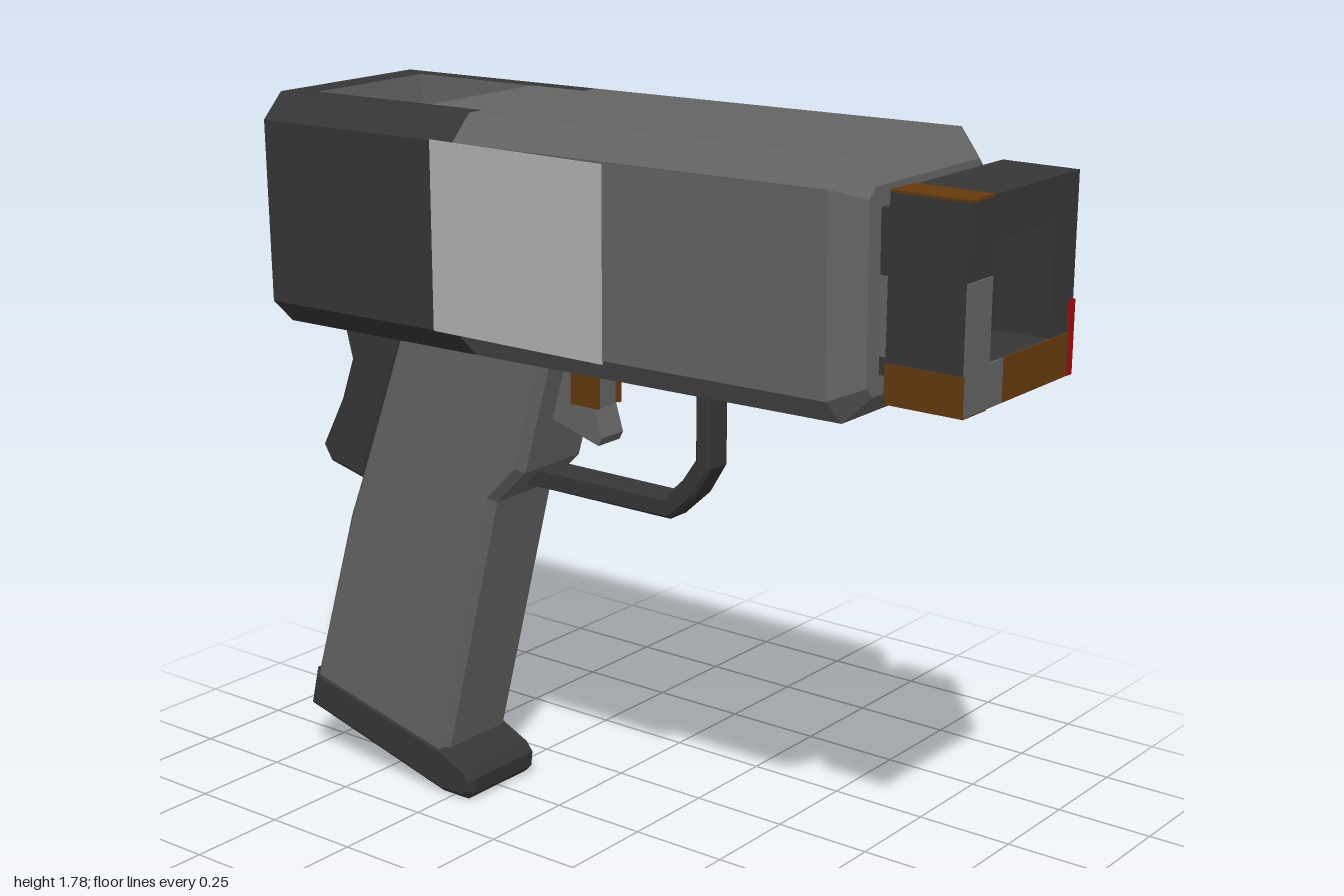
import * as THREE from 'three';

const mat = (name, color, side = THREE.FrontSide) => {
  const m = new THREE.MeshStandardMaterial({ color, side });
  m.name = name;
  return m;
};

export function createModel() {
  const dark = mat('charcoal', 0x363636);
  const gray = mat('gray', 0x646464);
  const light = mat('light gray', 0xb2b2b2);
  const brown = mat('brown', 0x663a0e);
  const red = mat('red', 0xa00c0c);

  const root = new THREE.Group();
  root.name = 'launcher';

  const add = (parent, name, geo, material) => {
    const m = new THREE.Mesh(geo, material);
    m.name = name;
    parent.add(m);
    return m;
  };
  // Box given by its limits
  const box = (parent, name, x0, x1, y0, y1, z0, z1, material) => {
    const g = new THREE.BoxGeometry(x1 - x0, y1 - y0, z1 - z0);
    g.translate((x0 + x1) / 2, (y0 + y1) / 2, (z0 + z1) / 2);
    return add(parent, name, g, material);
  };
  // Side outline extruded across z, with an optional bevel kept inside the outline
  const slab = (name, pts, half, material, bevel = 0, z = 0) => {
    const shape = new THREE.Shape(pts.map(p => new THREE.Vector2(...p)));
    const g = new THREE.ExtrudeGeometry(shape, {
      depth: 2 * (half - bevel), bevelEnabled: bevel > 0, bevelSize: bevel,
      bevelThickness: bevel, bevelOffset: -bevel, bevelSegments: 1,
    });
    g.translate(0, 0, z - half + bevel);
    return add(root, name, g, material);
  };

  // ---- Body: chamfered octagonal shell, slightly tilted up ----
  const body = new THREE.Group();
  body.name = 'body';
  body.position.y = 1.494;
  body.rotation.z = 0.0145;
  root.add(body);

  const H = 0.28, W = 0.285;
  const ring = (x, inset) => {
    const h = H - inset, w = W - inset, c = 0.06 - inset * 0.6;
    return [[w - c, h], [w, h - c], [w, c - h], [w - c, -h],
      [c - w, -h], [-w, c - h], [-w, h - c], [c - w, h]]
      .map(([z, y]) => new THREE.Vector3(x, y, z));
  };
  const rings = [ring(-0.96, 0.06), ring(-0.94, 0.04), ring(-0.9, 0),
    ring(-0.3, 0), ring(0.71, 0), ring(0.77, 0.06)];
  const faces = new Map([[dark, []], [gray, []], [red, []]]);
  const center = new THREE.Vector3(-0.1, 0, 0);
  const polygon = (pts, material) => {
    for (let i = 1; i < pts.length - 1; i++) {
      const [a, b, c] = [pts[0], pts[i], pts[i + 1]];
      const n = b.clone().sub(a).cross(c.clone().sub(a));
      const outward = n.dot(a.clone().sub(center)) > 0;
      faces.get(material).push(...(outward ? [a, b, c] : [a, c, b]));
    }
  };
  // Side numbers: 1 = +z, 3 = bottom, 5 = -z, 7 = top
  for (let k = 0; k < 5; k++) {
    for (let s = 0; s < 8; s++) {
      if (k === 2 && s === 7) continue;
      let m = k > 2 ? gray : dark;
      if (k < 2 && s === 7) m = gray;
      if (k === 0 && (s === 1 || s === 5)) m = red;
      const t = (s + 1) % 8;
      polygon([rings[k][s], rings[k][t], rings[k + 1][t], rings[k + 1][s]], m);
    }
  }
  polygon(rings[0], gray);
  polygon(rings[5], gray);
  for (const [m, pts] of faces) {
    const g = new THREE.BufferGeometry().setFromPoints(pts);
    g.computeVertexNormals();
    add(body, m === dark ? 'rearShell' : m === gray ? 'frontShell' : 'rearTrim', g, m);
  }

  // Top deck around the hopper opening
  const deck = (name, pts, material) => {
    const g = new THREE.ShapeGeometry(new THREE.Shape(pts.map(p => new THREE.Vector2(...p))));
    g.rotateX(-Math.PI / 2);
    g.translate(0, H, 0);
    add(body, name, g, material);
  };
  deck('hopperRim', [[-0.9, -0.225], [-0.3, -0.225], [-0.3, -0.18], [-0.82, -0.18],
    [-0.82, 0.18], [-0.3, 0.18], [-0.3, 0.225], [-0.9, 0.225]], dark);
  deck('hopperFrontDeck', [[-0.46, -0.18], [-0.3, -0.18], [-0.3, 0.18], [-0.46, 0.18]], gray);

  // Hopper well: box turned inside out, lid removed
  const well = new THREE.BoxGeometry(0.36, 0.48, 0.36);
  const idx = Array.from(well.index.array);
  idx.splice(12, 6);
  well.setIndex(idx);
  well.clearGroups();
  well.scale(-1, 1, 1);
  well.computeVertexNormals();
  well.translate(-0.64, 0.04, 0);
  add(body, 'hopperWell', well, gray);

  // Balls in the hopper
  const ballGeo = new THREE.SphereGeometry(0.058, 20, 14);
  for (let i = 0; i < 3; i++) {
    for (let j = 0; j < 3; j++) {
      const isGray = (i === 0 && j === 0) || (i === 2 && j === 2);
      add(body, 'ball', ballGeo, isGray ? gray : dark)
        .position.set(-0.762 + 0.124 * i, -0.14, -0.118 + 0.118 * j);
    }
  }

  // Light bands on both sides
  for (const s of [-1, 1]) {
    box(root, 'sideBand', -0.37, 0.125, 1.268, 1.71, s * W - 0.003, s * W + 0.003, light);
  }

  // ---- Muzzle ----
  box(root, 'muzzleNeck', 0.75, 0.83, 1.33, 1.68, -0.18, 0.18, dark);
  box(root, 'neckPatch', 0.765, 0.79, 1.37, 1.54, 0.178, 0.183, gray);
  const square = (r, P) => new P([[-r, -r], [r, -r], [r, r], [-r, r]].map(p => new THREE.Vector2(...p)));
  const frame = square(0.22, THREE.Shape);
  frame.holes.push(square(0.125, THREE.Path));
  const frameGeo = new THREE.ExtrudeGeometry(frame, { depth: 0.13, bevelEnabled: false });
  frameGeo.rotateY(Math.PI / 2);
  frameGeo.translate(0.867, 1.505, 0);
  add(root, 'muzzleFrame', frameGeo, dark);
  box(root, 'muzzleBack', 0.813, 0.868, 1.285, 1.725, -0.22, 0.22, dark);
  // Painted panels on the muzzle
  for (const s of [-1, 1]) {
    box(root, 'muzzleSideStripe', 0.813, 1, 1.285, 1.37, s * 0.22 - 0.003, s * 0.22 + 0.003, brown);
  }
  for (const y of [1.285, 1.725]) {
    box(root, 'muzzleEdgeStripe', 0.813, 1, y - 0.003, y + 0.003, 0.13, 0.22, brown);
  }
  box(root, 'muzzleFacePanel', 0.995, 1.001, 1.285, 1.38, -0.2, 0.07, brown);
  box(root, 'muzzleFacePatch', 0.995, 1.001, 1.285, 1.38, 0.07, 0.125, gray);
  box(root, 'muzzleFacePatch', 0.995, 1.001, 1.285, 1.56, 0.125, 0.22, gray);
  box(root, 'muzzleFaceTrim', 0.995, 1.002, 1.285, 1.45, -0.221, -0.2, red);
  box(root, 'muzzleBackTrim', 0.81, 0.816, 1.285, 1.45, -0.221, -0.2, red);

  // ---- Grip ----
  slab('grip', [[-0.63, 1.24], [-0.65, 1.18], [-0.80, 0.78], [-0.84, 0.68], [-0.985, 0.2],
    [-0.53, 0.09], [-0.35, 0.81], [-0.26, 0.9], [-0.175, 1.2], [-0.17, 1.24]], 0.12, gray, 0.02);
  slab('gripBase', [[-1, 0.13], [-0.975, 0.235], [-0.525, 0.125], [-0.45, 0.09], [-0.43, 0.065],
    [-0.435, 0.025], [-0.455, 0.005], [-0.54, 0.005]], 0.125, dark, 0.015);
  slab('gripPatch', [[-0.97, 0.2], [-0.875, 0.52], [-0.8, 0.52], [-0.65, 0.22], [-0.65, 0.13]],
    0.004, dark, 0, -0.12);
  slab('rearSpur', [[-0.9, 1.22], [-0.885, 1.195], [-0.84, 1.165], [-0.82, 1.09], [-0.86, 0.98],
    [-0.93, 0.85], [-0.905, 0.81], [-0.79, 0.783], [-0.62, 1.22]], 0.11, dark, 0.012);

  // ---- Trigger and guard ----
  slab('trigger', [[-0.2, 1.23], [-0.09, 1.23], [-0.095, 1.07], [-0.075, 1.005], [-0.085, 0.985],
    [-0.235, 1.03]], 0.04, gray);
  for (const s of [-1, 1]) {
    box(root, 'triggerPanel', -0.165, -0.083, 1.075, 1.22, s * 0.04 - 0.004, s * 0.04 + 0.004, brown);
  }
  slab('triggerGuard', [[0.235, 1.24], [0.235, 0.985], [0.19, 0.91], [0.12, 0.845], [-0.37, 0.845],
    [-0.3, 0.897], [0.105, 0.897], [0.155, 0.945], [0.193, 1.0], [0.193, 1.24]], 0.038, dark, 0.008);

  return root;
}
